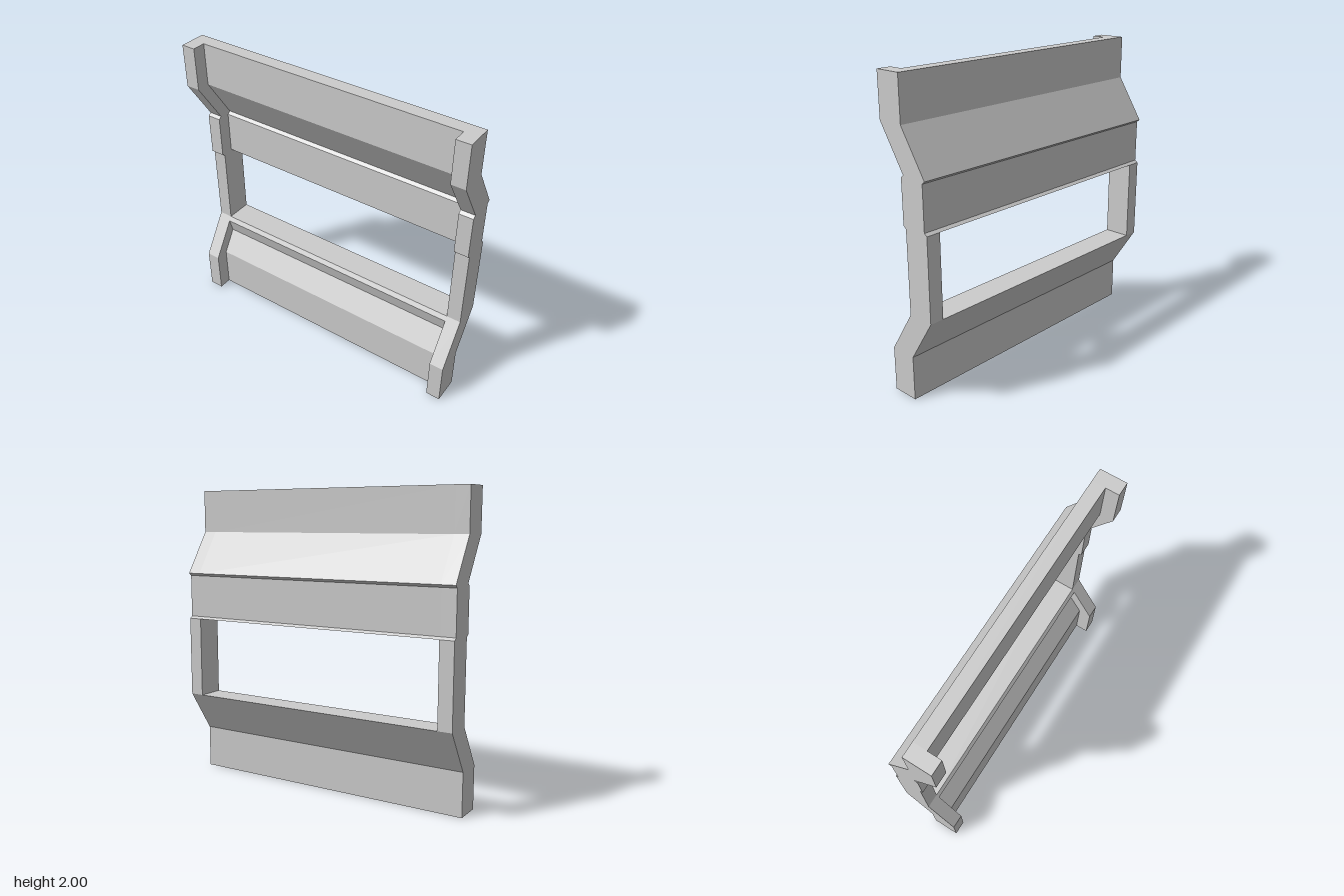
import * as THREE from 'three';

const material = new THREE.MeshStandardMaterial({ color: 0xcccccc, flatShading: true });

// Extrude a [z, y] cross-section along x, from x0 to x1.
function bar(name, profile, x0, x1) {
  const shape = new THREE.Shape(profile.map(([z, y]) => new THREE.Vector2(z, y)));
  const geometry = new THREE.ExtrudeGeometry(shape, { depth: x1 - x0, bevelEnabled: false });
  geometry.rotateY(-Math.PI / 2).translate(x1, 0, 0);
  const mesh = new THREE.Mesh(geometry, material);
  mesh.name = name;
  return mesh;
}

export function createModel() {
  const group = new THREE.Group();
  group.name = 'steppedWallFrame';
  const inner = 0.905; // inner face of the side posts

  // Back outline shared by posts and panels, from top to bottom
  const upperBack = [[0, 2], [0, 1.715], [-0.18, 1.432], [-0.16, 1.415], [-0.16, 1.13], [-0.18, 1.115]];
  const lowerBack = [[-0.18, 0.573], [0, 0.29], [0, 0]];

  // Side posts: full depth, bent in and out, with a raised band
  const post = [
    [0.18, 0], [0.18, 0.29], [0, 0.573], [0, 1.115], [0.02, 1.13],
    [0.02, 1.415], [0, 1.432], [0.18, 1.715], [0.18, 2],
    ...upperBack, ...lowerBack,
  ];
  group.add(bar('leftPost', post, inner, 1));
  group.add(bar('rightPost', post, -1, -inner));

  // Upper panel: half depth, ends above the opening
  const upper = [
    [-0.09, 1.115], [-0.07, 1.13], [-0.07, 1.415], [-0.09, 1.432], [0.09, 1.715], [0.09, 2],
    ...upperBack,
  ];
  group.add(bar('upperPanel', upper, -inner, inner));

  // Lower panel: half depth, with a sill lip flush with the posts
  const lower = [
    [0.09, 0], [0.09, 0.29], [-0.008, 0.445], [0.019, 0.543], [0, 0.573],
    ...lowerBack,
  ];
  group.add(bar('lowerPanel', lower, -inner, inner));

  return group;
}
